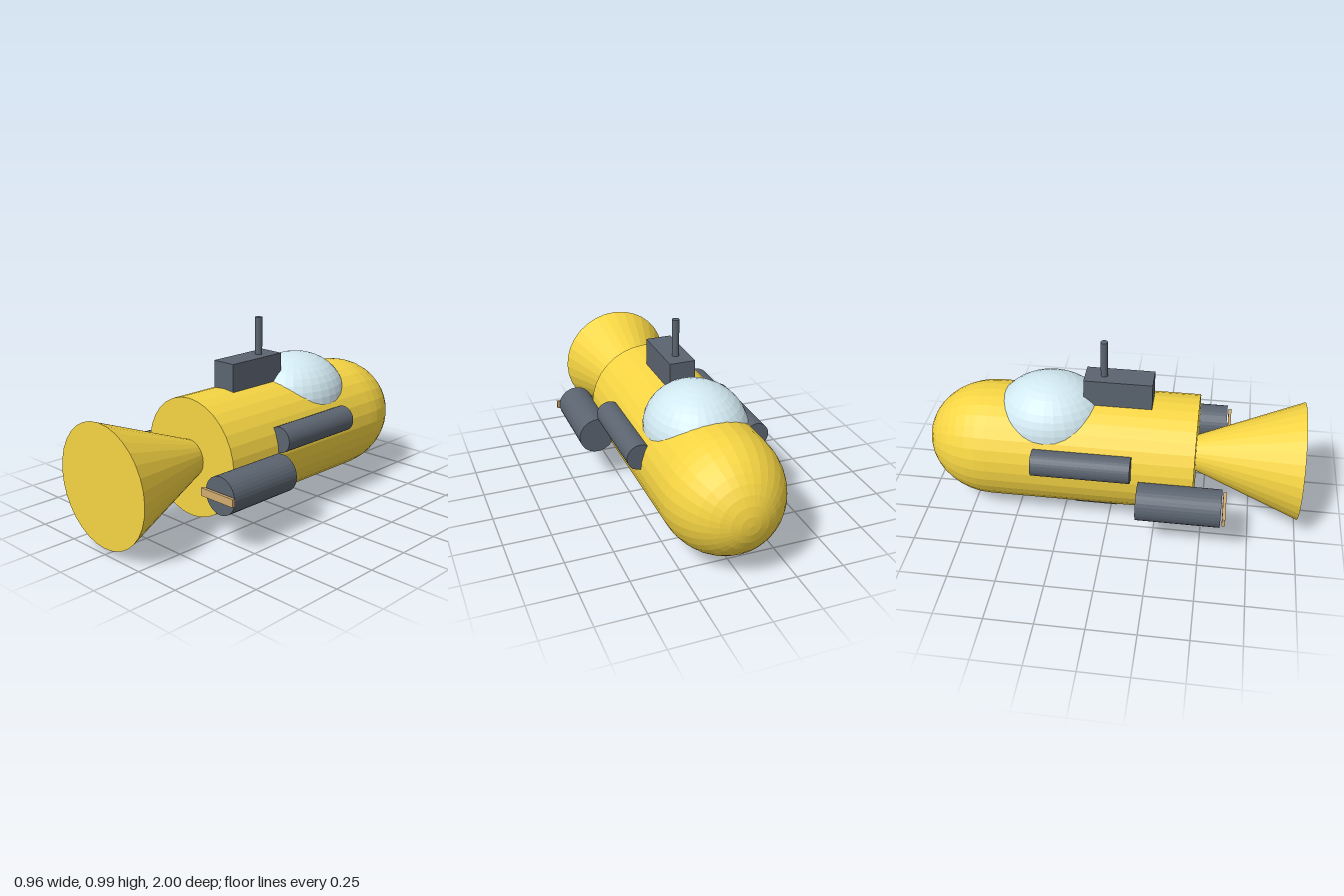
import * as THREE from 'three';

const material = (color) => new THREE.MeshStandardMaterial({ color, flatShading: true });

export function createModel() {
  const model = new THREE.Group();
  model.name = 'submarine';
  const yellow = material(0xf5d443);
  const slate = material(0x5b6470);
  const glass = material(0xd2e9f2);
  const bronze = material(0xd2ac70);
  const axisY = 0.343, hullR = 0.312;

  function add(name, geometry, mat, x, y, z) {
    const mesh = new THREE.Mesh(geometry, mat);
    mesh.name = name;
    mesh.position.set(x, y, z);
    model.add(mesh);
    return mesh;
  }

  // Cylinder lying along z, from zBack to zFront
  function tube(name, rBack, rFront, zBack, zFront, mat, x, y, sides = 32, open = false) {
    const g = new THREE.CylinderGeometry(rFront, rBack, zFront - zBack, sides, 1, open);
    g.rotateX(Math.PI / 2);
    return add(name, g, mat, x, y, (zBack + zFront) / 2);
  }

  // Hull with rounded nose and flared tail cone
  tube('hull', hullR, hullR, -0.64, 0.45, yellow, 0, axisY);
  const noseGeometry = new THREE.SphereGeometry(hullR, 32, 10, 0, Math.PI * 2, 0, Math.PI / 2);
  noseGeometry.rotateX(-Math.PI / 2);
  noseGeometry.scale(1, 1, 0.36 / hullR);
  add('nose', noseGeometry, yellow, 0, axisY, -0.64);
  tube('tailCone', 0.089, hullR, 0.43, 1, yellow, 0, axisY);

  // Glass canopy
  const dome = new THREE.SphereGeometry(1, 32, 20);
  dome.scale(0.262, 0.235, 0.3);
  add('canopy', dome, glass, 0, 0.52, -0.327);

  // Tower, periscope and keel
  add('tower', new THREE.BoxGeometry(0.136, 0.193, 0.355), slate, 0, 0.6965, 0.0325);
  add('periscope', new THREE.CylinderGeometry(0.019, 0.019, 0.24, 20), slate, 0, 0.87, -0.046);
  add('keel', new THREE.BoxGeometry(0.176, 0.04, 0.23), slate, 0, 0.02, -0.085);

  // Side tanks, thrusters and propeller blades
  for (const [side, s] of [['left', 1], ['right', -1]]) {
    tube(side + 'Tank', 0.068, 0.068, -0.38, 0.13, slate, s * 0.313, 0.433);
    tube(side + 'Thruster', 0.097, 0.097, 0.17, 0.6, slate, s * 0.372, 0.286);
    add(side + 'Propeller', new THREE.BoxGeometry(0.212, 0.041, 0.016), bronze, s * 0.374, 0.286, 0.616);
  }
  return model;
}
